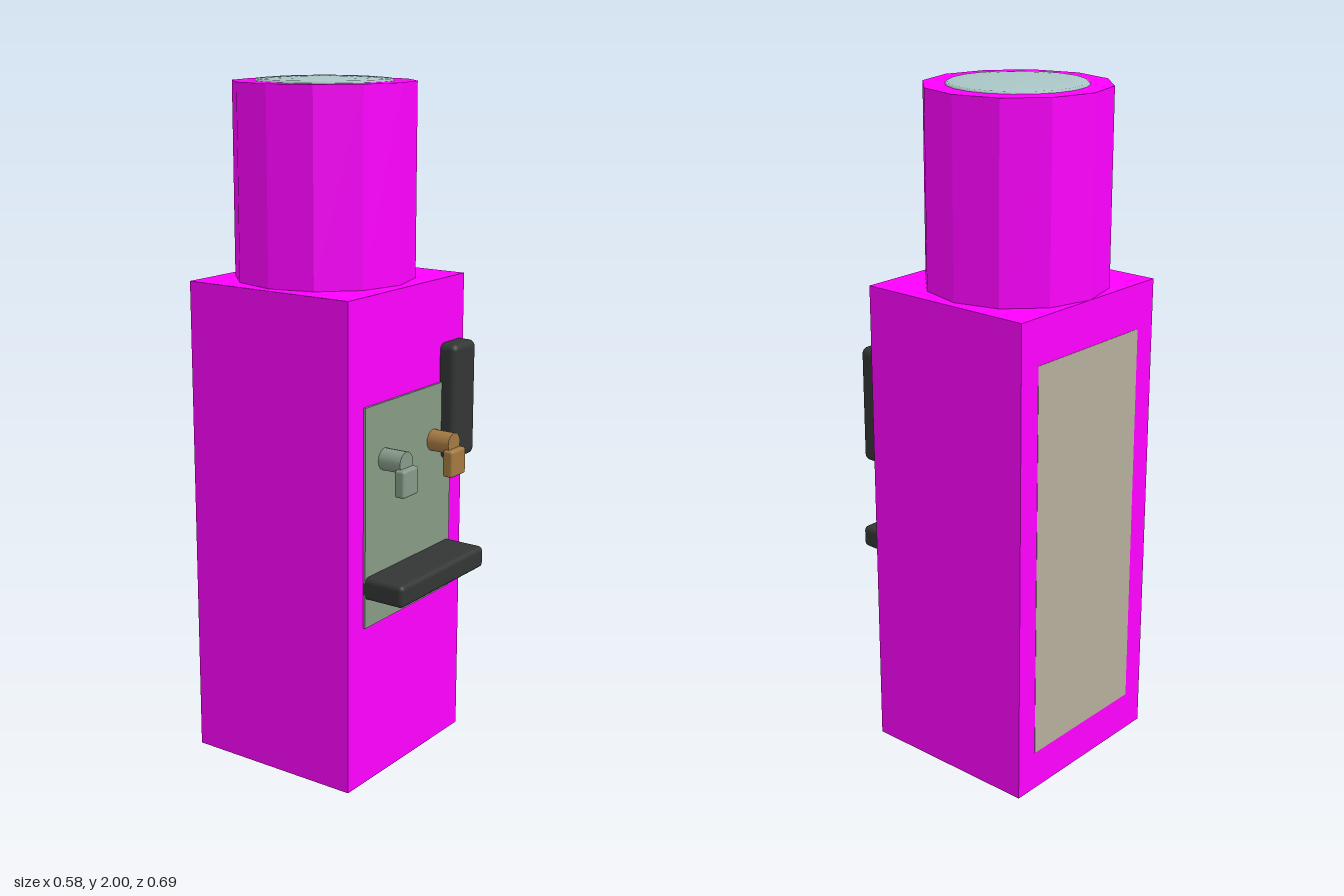
import * as THREE from 'three';
import { RoundedBoxGeometry } from 'three/addons/geometries/RoundedBoxGeometry.js';

const material = (color, flatShading = false) => new THREE.MeshStandardMaterial({ color, flatShading });

const shell = material(0xff00ff, true);
const black = material(0x333635);
const panelGreen = material(0x869a84);
const capBlue = material(0xaac6c6);
const beige = material(0xb4ae9a);
const brass = material(0xa47a42);
const pewter = material(0x869a88);

export function createModel() {
  const model = new THREE.Group();
  model.name = 'waterCooler';

  const add = (name, geometry, mat, parent = model) => {
    const mesh = new THREE.Mesh(geometry, mat);
    mesh.name = name;
    parent.add(mesh);
    return mesh;
  };

  // Box given by its limits on each axis, with optionally rounded edges
  const box = (name, [x0, x1], [y0, y1], [z0, z1], mat, radius = 0, parent = model) => {
    const size = [x1 - x0, y1 - y0, z1 - z0];
    const geometry = radius
      ? new RoundedBoxGeometry(...size, 3, radius)
      : new THREE.BoxGeometry(...size);
    const mesh = add(name, geometry, mat, parent);
    mesh.position.set((x0 + x1) / 2, (y0 + y1) / 2, (z0 + z1) / 2);
    return mesh;
  };

  // Cabinet with its base plate and rear panel
  box('cabinet', [-0.29, 0.29], [0.001, 1.433], [-0.344, 0.21], shell);
  box('basePlate', [-0.22, 0.22], [0, 0.02], [-0.27, 0.14], black);
  box('rearPanel', [-0.22, 0.22], [0.12, 1.3], [-0.345, -0.33], beige);

  // Twelve-sided bottle with a shallow domed cap
  const bottleZ = -0.082;
  const bottle = add('bottle', new THREE.CylinderGeometry(0.262, 0.262, 0.556, 12), shell);
  bottle.position.set(0, 1.709, bottleZ);

  const capProfile = [[0.197, 1.97], [0.197, 1.987], [0.19, 1.993], [0.15, 1.996], [0.08, 1.999], [0, 2]]
    .map(([r, y]) => new THREE.Vector2(r, y));
  const cap = add('bottleCap', new THREE.LatheGeometry(capProfile, 20), capBlue);
  cap.position.z = bottleZ;

  // Front panel, drip tray and cup holder
  box('frontPanel', [-0.218, 0.218], [0.485, 1.128], [0.2, 0.217], panelGreen);
  box('dripTray', [-0.218, 0.218], [0.57, 0.636], [0.19, 0.342], black, 0.015);
  box('cupHolder', [0.167, 0.286], [0.895, 1.242], [0.17, 0.262], black, 0.02);

  // A pair of taps: round spout pipe with a square nozzle at its end
  for (const [name, x, mat] of [['rightTap', -0.125, pewter], ['leftTap', 0.123, brass]]) {
    const tap = new THREE.Group();
    tap.name = name;
    tap.position.x = x;
    model.add(tap);
    const pipe = add('pipe', new THREE.CylinderGeometry(0.032, 0.032, 0.085, 16), mat, tap);
    pipe.rotation.x = Math.PI / 2;
    pipe.position.set(0, 0.964, 0.2475);
    box('nozzle', [-0.038, 0.038], [0.87, 0.95], [0.274, 0.308], mat, 0.008, tap);
  }

  return model;
}
